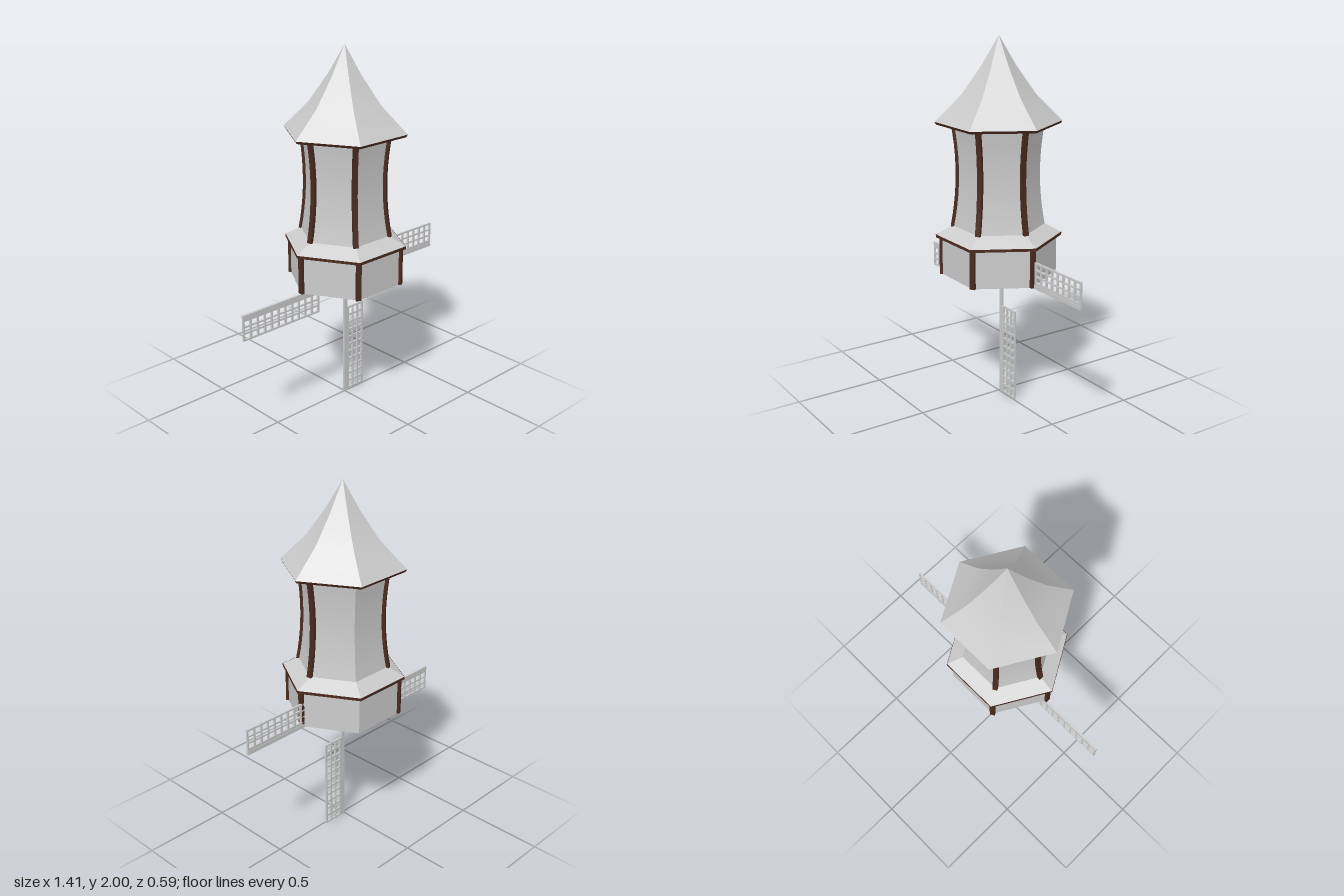
import * as THREE from 'three';
import { toCreasedNormals } from 'three/addons/utils/BufferGeometryUtils.js';

export function createModel() {
  const model = new THREE.Group();
  const grey = new THREE.MeshStandardMaterial({ color: 0xcccccc, side: THREE.DoubleSide });
  const brown = new THREE.MeshStandardMaterial({ color: 0x4a2a1e, side: THREE.DoubleSide });

  const add = (parent, name, geometry, material) => {
    const mesh = new THREE.Mesh(geometry, material);
    mesh.name = name;
    parent.add(mesh);
    return mesh;
  };
  // Six-sided shell with corners on +x and -x, from [radius, y] points
  const hex = (name, points, material) => {
    const profile = points.map(([r, y]) => new THREE.Vector2(r, y));
    const lathe = new THREE.LatheGeometry(profile, 6, Math.PI / 2, Math.PI * 2);
    return add(model, name, toCreasedNormals(lathe, 0.5), material);
  };

  // Waisted tower: corner radius at a given height
  const towerRadius = y => 0.221 + 0.34 * (y - 1.28) ** 2;
  const heights = Array.from({ length: 11 }, (_, i) => 0.985 + i * 0.056);

  hex('baseWall', [[0.315, 0.715], [0.315, 0.925]], grey);
  hex('baseTrim', [[0.3, 0.922], [0.342, 0.922], [0.342, 0.937], [0.3, 0.937]], brown);
  hex('skirtRoof', [[0.34, 0.937], [0.245, 0.99], [0.22, 0.99]], grey);
  hex('towerWall', heights.map(y => [towerRadius(y), y]), grey);
  hex('roofTrim', [[0.2, 1.538], [0.33, 1.538], [0.338, 1.552]], brown);
  hex('roof', [[0.338, 1.552], [0.195, 1.695], [0.09, 1.845], [0, 2]], grey);

  // Corner posts; one rear corner has none
  const postShape = new THREE.Shape([
    ...heights.map(y => new THREE.Vector2(towerRadius(y) + 0.009, y)),
    ...[...heights].reverse().map(y => new THREE.Vector2(towerRadius(y) - 0.016, y)),
  ]);
  const towerPost = new THREE.ExtrudeGeometry(postShape, { depth: 0.028, bevelEnabled: false });
  towerPost.translate(0, 0, -0.014);
  const basePost = new THREE.BoxGeometry(0.024, 0.207, 0.028).translate(0.311, 0.8185, 0);
  for (const i of [0, 2, 3, 4, 5]) {
    const corner = new THREE.Group();
    corner.name = 'cornerPosts';
    corner.rotation.y = i * Math.PI / 3;
    add(corner, 'towerPost', towerPost, brown);
    add(corner, 'basePost', basePost, brown);
    model.add(corner);
  }

  // Sail wheel: axle with four lattice sails
  const wheel = new THREE.Group();
  wheel.name = 'sailWheel';
  wheel.position.y = 0.71;
  model.add(wheel);
  const axle = new THREE.CylinderGeometry(0.034, 0.034, 0.235, 16).rotateX(Math.PI / 2);
  add(wheel, 'axle', toCreasedNormals(axle, 0.6), grey).position.z = -0.0825;

  // Lattice panel hanging downwards, offset to one side of its spar
  const rect = (Type, x, y, w, h) => new Type([
    new THREE.Vector2(x, y), new THREE.Vector2(x + w, y),
    new THREE.Vector2(x + w, y + h), new THREE.Vector2(x, y + h),
  ]);
  const rows = 11, cols = 3, bottom = -0.705, length = 0.52;
  const panel = rect(THREE.Shape, 0.015, bottom, 0.132, length);
  const pitchX = 0.036, pitchY = (length - 0.01) / rows;
  for (let r = 0; r < rows; r++) {
    for (let c = 0; c < cols; c++) {
      panel.holes.push(rect(THREE.Path, 0.038 + c * pitchX, bottom + 0.01 + r * pitchY,
        pitchX - 0.009, pitchY - 0.01));
    }
  }
  const lattice = new THREE.ExtrudeGeometry(panel, { depth: 0.01, bevelEnabled: false });
  lattice.translate(0, 0, -0.014);
  const spar = new THREE.BoxGeometry(0.02, 0.705, 0.014).translate(0.012, -0.3525, -0.009);
  for (let i = 0; i < 4; i++) {
    const sail = new THREE.Group();
    sail.name = 'sail';
    sail.rotation.z = i * Math.PI / 2;
    add(sail, 'spar', spar, grey);
    add(sail, 'lattice', lattice, grey);
    wheel.add(sail);
  }
  return model;
}
